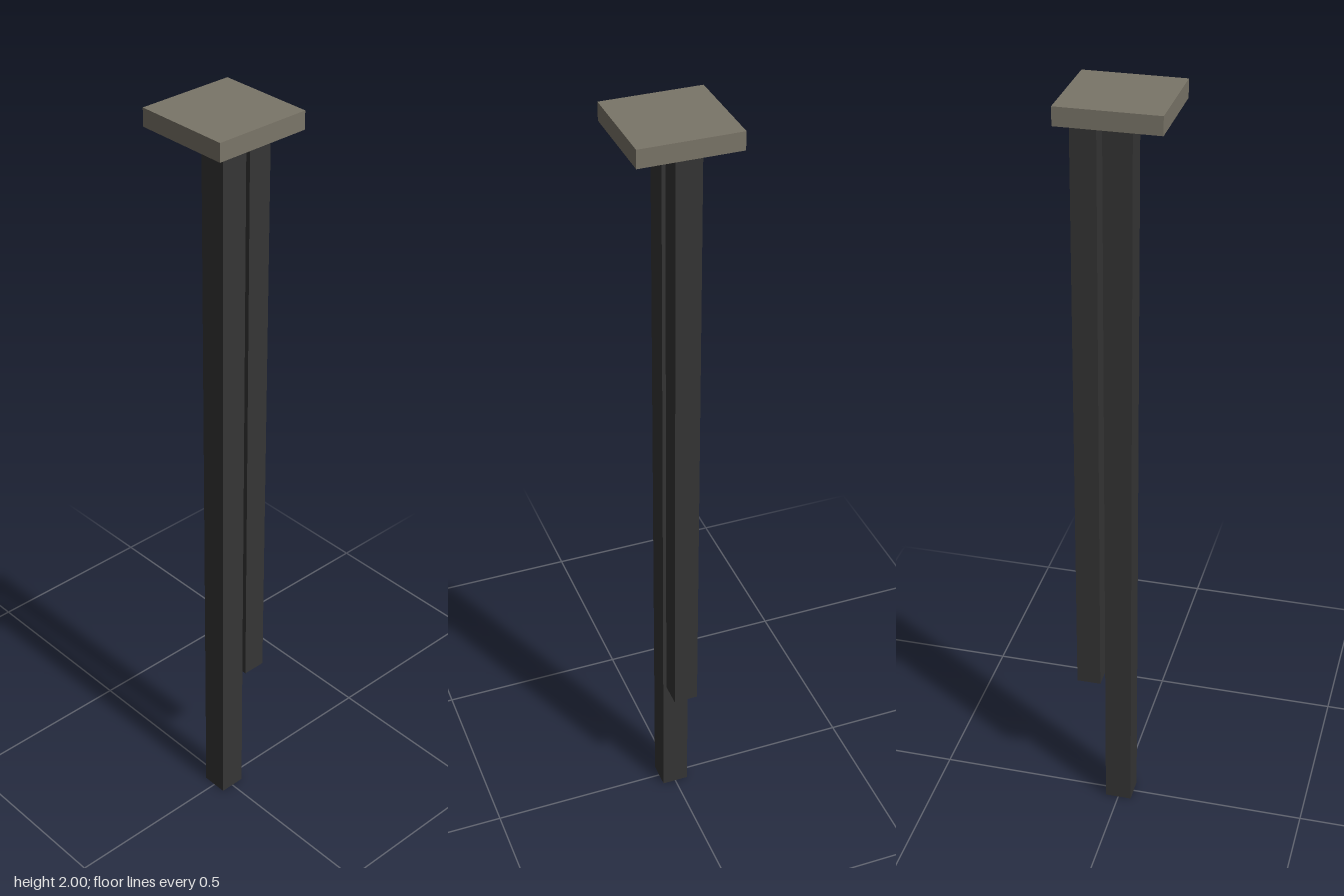
import * as THREE from 'three';

export function createModel() {
  const group = new THREE.Group();
  const stone = new THREE.MeshStandardMaterial({ color: 0x7a7568 });
  stone.name = 'warm grey';
  const iron = new THREE.MeshStandardMaterial({ color: 0x353535 });
  iron.name = 'charcoal';

  const plateBottom = 1.955;

  // Square bar of a given width between two heights
  function addBlock(name, width, bottom, top, x, material) {
    const height = top - bottom;
    const mesh = new THREE.Mesh(new THREE.BoxGeometry(width, height, width), material);
    mesh.position.set(x, bottom + height / 2, 0);
    mesh.name = name;
    group.add(mesh);
  }

  // Top plate with a long central post and a shorter one beside it
  addBlock('topPlate', 0.25, plateBottom, 2, 0, stone);
  addBlock('mainPost', 0.07, 0, plateBottom, 0, iron);
  addBlock('shortPost', 0.063, 0.378, plateBottom, 0.081, iron);

  return group;
}
